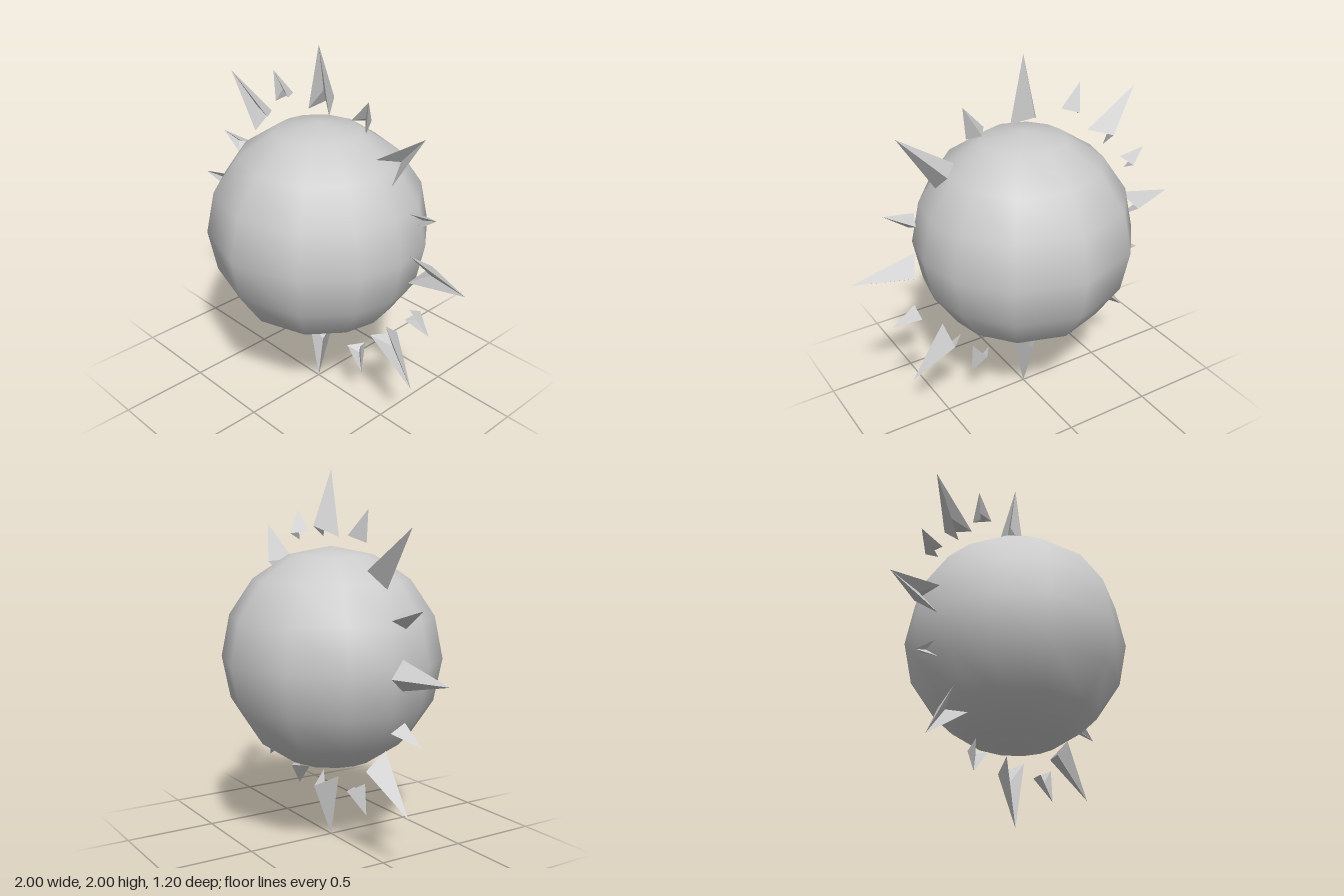
import * as THREE from 'three';

const material = new THREE.MeshStandardMaterial({ color: 0xcccccc });
const flatMaterial = new THREE.MeshStandardMaterial({ color: 0xcccccc, flatShading: true });

// Low-poly ball with smooth normals; the meridians are spread towards the sides
function createBall(radius) {
  const geometry = new THREE.SphereGeometry(radius, 12, 8);
  const p = geometry.attributes.position;
  const n = geometry.attributes.normal;
  for (let i = 0; i < p.count; i++) {
    const r = Math.hypot(p.getX(i), p.getZ(i));
    const a = Math.atan2(p.getX(i), p.getZ(i));
    const b = a + 0.131 * Math.sin(2 * a);
    p.setXYZ(i, r * Math.sin(b), p.getY(i), r * Math.cos(b));
    n.setXYZ(i, p.getX(i) / radius, p.getY(i) / radius, p.getZ(i) / radius);
  }
  const mesh = new THREE.Mesh(geometry, material);
  mesh.name = 'ball';
  return mesh;
}

// Dart-shaped ray pointing along +y: folded front, ridged back, notched base
function createRayGeometry({ tip, base, half, notch, notchZ, back, backZ }) {
  const T = [0, tip, 0];
  const R = [half, base, 0];
  const L = [-half, base, 0];
  const C = [0, notch, notchZ];
  const B = [0, back, backZ];
  const faces = [T, C, R, T, L, C, T, R, B, T, B, L, B, R, C, B, C, L];
  const geometry = new THREE.BufferGeometry();
  geometry.setAttribute('position', new THREE.Float32BufferAttribute(faces.flat(), 3));
  geometry.computeVertexNormals();
  return geometry;
}

export function createModel() {
  const model = new THREE.Group();
  model.name = 'sun';

  const body = new THREE.Group();
  body.position.y = 1;
  model.add(body);
  body.add(createBall(0.6));

  const addRay = (geometry, name, angle) => {
    const ray = new THREE.Mesh(geometry, flatMaterial);
    ray.name = name;
    ray.rotation.z = angle;
    body.add(ray);
  };

  // Eight long rays
  const longRay = createRayGeometry({
    tip: 1, base: 0.648, half: 0.077, notch: 0.76, notchZ: -0.035, back: 0.705, backZ: -0.11,
  });
  for (let i = 0; i < 8; i++) addRay(longRay, 'longRay', (i * Math.PI) / 4);

  // Eight short rays between them, the ones near the sides narrower
  const shortSize = { tip: 0.865, base: 0.705, notch: 0.755, notchZ: -0.025, back: 0.722, backZ: -0.085 };
  const shortRay = createRayGeometry({ ...shortSize, half: 0.055 });
  const narrowRay = createRayGeometry({ ...shortSize, half: 0.04 });
  for (const turn of [0, Math.PI]) {
    for (const side of [-1, 1]) {
      addRay(shortRay, 'shortRay', turn + side * 0.412);
      addRay(narrowRay, 'shortRay', turn + side * 1.185);
    }
  }
  return model;
}
